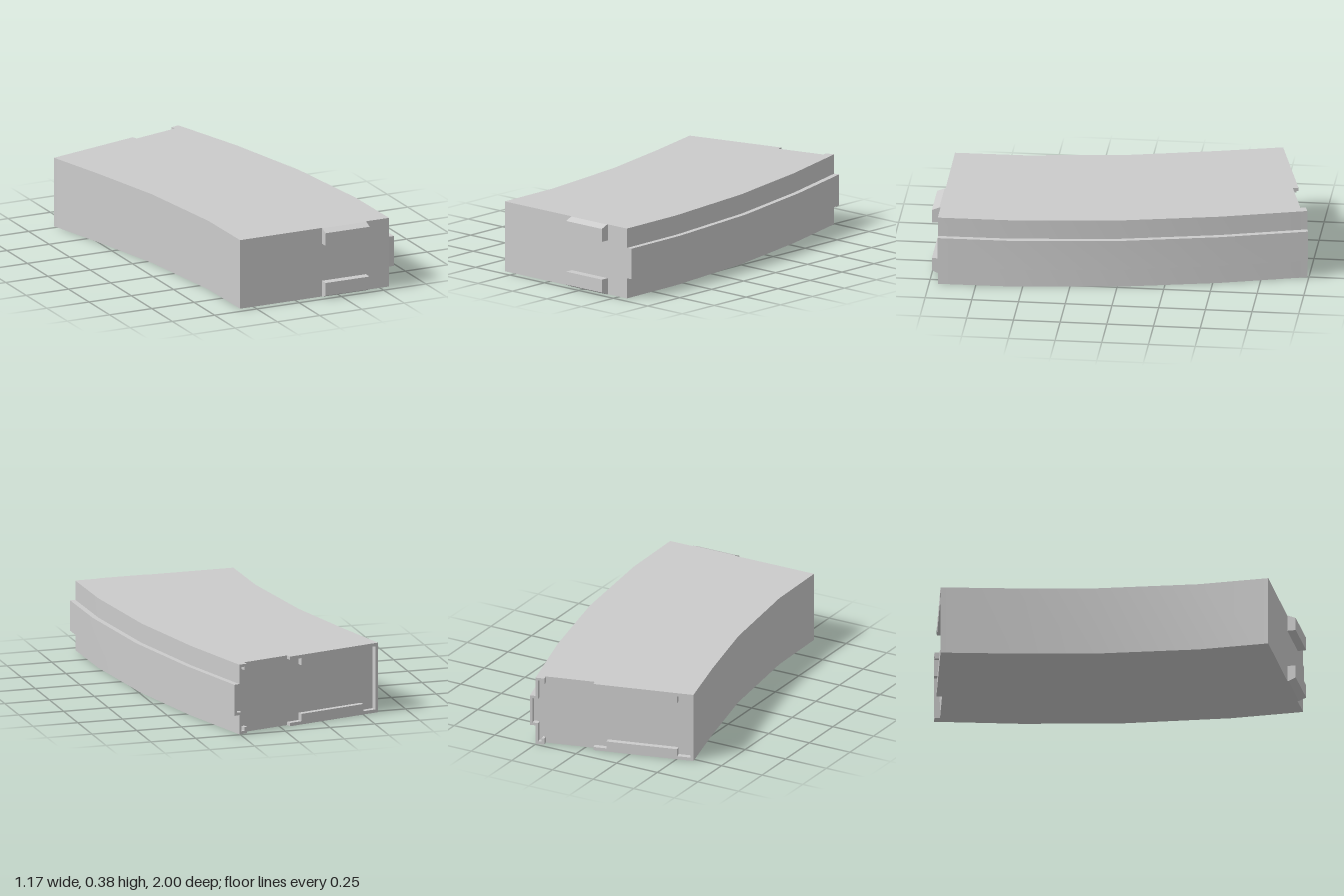
import * as THREE from 'three';
import { toCreasedNormals } from 'three/addons/utils/BufferGeometryUtils.js';

const H = 0.383;      // overall thickness
const RIM = 0.03;     // how far the open-end rim stands above the floor
const mat = new THREE.MeshStandardMaterial({ color: 0xcccccc });

function add(parent, name, geo) {
  const mesh = new THREE.Mesh(geo, mat);
  mesh.name = name;
  parent.add(mesh);
}

// Extrude a plan outline of [x, z] points upward from y0 to y1
function slab(points, y0, y1) {
  const shape = new THREE.Shape(points.map(([x, z]) => new THREE.Vector2(x, -z)));
  const geo = new THREE.ExtrudeGeometry(shape, { depth: y1 - y0, bevelEnabled: false });
  geo.rotateX(-Math.PI / 2).translate(0, y0, 0);
  return toCreasedNormals(geo, 0.4);
}

// Extrude a side profile of [z, y] points from x0 to x1
function sideProfile(points, x0, x1) {
  const shape = new THREE.Shape(points.map(([z, y]) => new THREE.Vector2(z, y)));
  const geo = new THREE.ExtrudeGeometry(shape, { depth: x1 - x0, bevelEnabled: false });
  return geo.rotateY(-Math.PI / 2).translate(x1, 0, 0);
}

export function createModel() {
  const group = new THREE.Group();
  group.name = 'curvedMagazine';

  // Curved edges in plan, from the slanted open end to the flat front
  const inner = [[-0.582, -0.742], [-0.5, -0.42], [-0.4, 0.03], [-0.333, 0.58], [-0.328, 0.957]];
  const outer = [[0.262, -0.963], [0.38, -0.54], [0.49, -0.01], [0.55, 0.56], [0.555, 0.953]];
  const railOuter = [[0.292, -0.971], [0.41, -0.54], [0.52, -0.01], [0.58, 0.56], [0.585, 0.951]];
  const railInner = outer.map(([x, z], i) => [x - 0.04, i === 0 ? z + 0.0104 : z]);

  add(group, 'body', slab([...inner, ...outer.slice().reverse()], 0, H));
  add(group, 'spineRail', slab([...railInner, ...railOuter.slice().reverse()], 0.11, 0.277));

  // Two chamfered clips on the front face, mirrored top and bottom
  const clip = [[0.93, 0.295], [1, 0.295], [1, 0.366], [0.96, H], [0.93, H]];
  add(group, 'upperClip', sideProfile(clip, 0.157, 0.417));
  add(group, 'lowerClip', sideProfile(clip.map(([z, y]) => [z, H - y]).reverse(), 0.157, 0.417));

  // Rim around the slanted open end: local x runs along the end, -z points outward
  const rim = new THREE.Group();
  rim.name = 'openEndRim';
  rim.position.set(-0.582, 0, -0.742);
  rim.rotation.y = Math.atan2(0.221, 0.844);
  group.add(rim);

  const wall = (name, x0, x1, y0, y1) => {
    const geo = new THREE.BoxGeometry(x1 - x0, y1 - y0, RIM + 0.005);
    geo.translate((x0 + x1) / 2, (y0 + y1) / 2, -(RIM - 0.005) / 2);
    add(rim, name, geo);
  };
  const mirroredWall = (name, x0, x1, y0, y1) => {
    wall(name + 'Upper', x0, x1, y0, y1);
    wall(name + 'Lower', x0, x1, H - y1, H - y0);
  };

  wall('innerEndWall', 0, 0.015, 0, H);
  mirroredWall('longWall', 0, 0.553, H - 0.018, H);
  mirroredWall('feedLip', 0.09, 0.48, H - 0.058, H);
  mirroredWall('shortWall', 0.823, 0.872, H - 0.015, H);
  mirroredWall('hook', 0.823, 0.838, H - 0.035, H);
  mirroredWall('outerWall', 0.857, 0.872, 0.262, H);
  mirroredWall('railStepWall', 0.857, 0.903, 0.262, 0.277);
  wall('railWall', 0.888, 0.903, 0.11, 0.277);

  return group;
}
